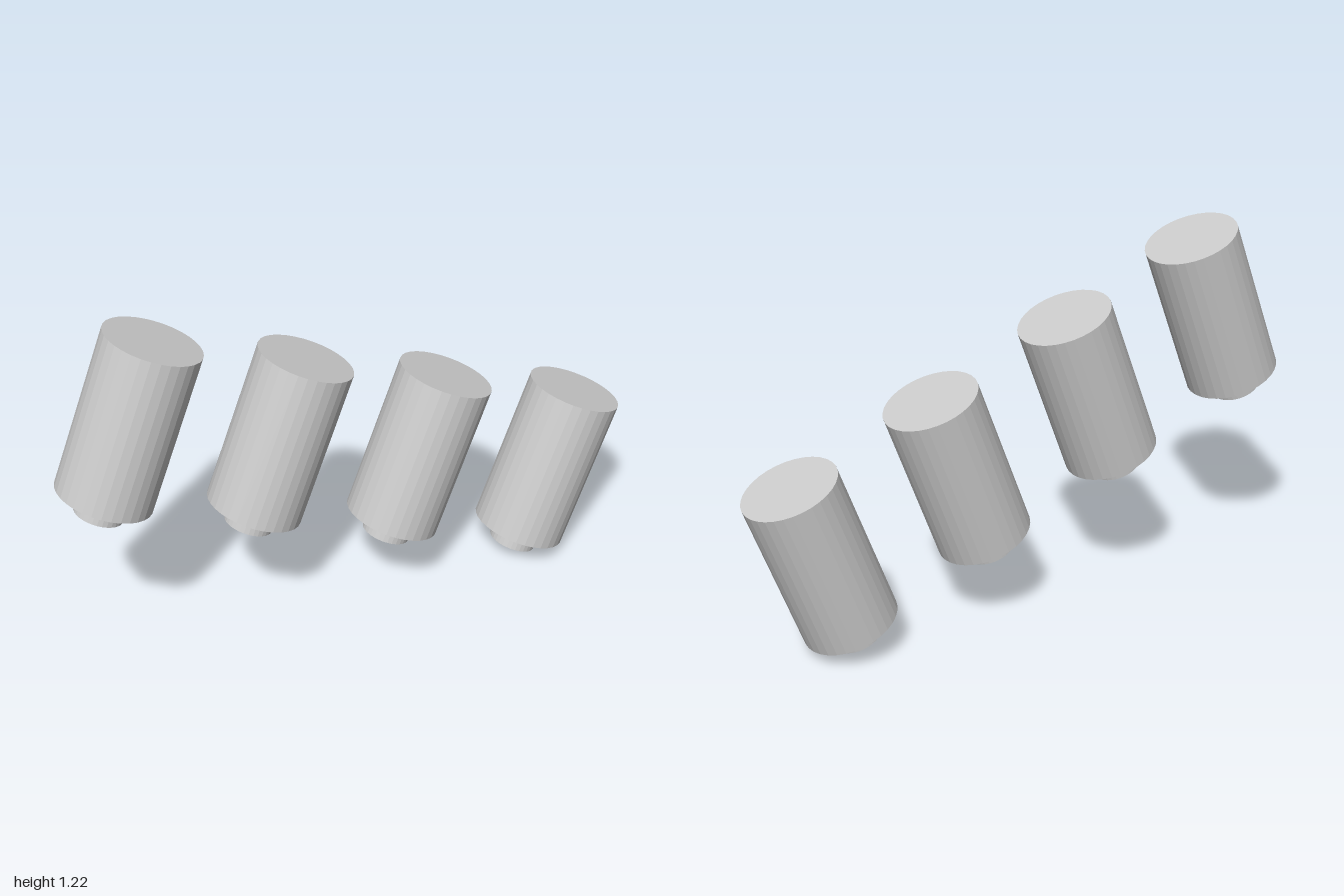
import * as THREE from 'three';

const TILT = THREE.MathUtils.degToRad(20.5);
const BODY_R = 0.161, BODY_H = 0.55;
const STUB_R = 0.082, STUB_H = 0.065;
const COUNT = 4, SPACING = 0.536; // distance along the sloping row
const SIDES = 32;

// One canister: solid body with a short open collar below, origin at the body's base
function makeCanister(material, openMaterial) {
  const canister = new THREE.Group();
  canister.name = 'canister';

  const body = new THREE.Mesh(new THREE.CylinderGeometry(BODY_R, BODY_R, BODY_H, SIDES), material);
  body.name = 'body';
  body.position.y = BODY_H / 2;

  const collar = new THREE.Mesh(
    new THREE.CylinderGeometry(STUB_R, STUB_R, STUB_H, SIDES, 1, true), openMaterial);
  collar.name = 'collar';
  collar.position.y = -STUB_H / 2;

  canister.add(body, collar);
  return canister;
}

export function createModel() {
  const model = new THREE.Group();
  model.name = 'canisterRow';
  const material = new THREE.MeshStandardMaterial({ color: 0xcccccc, flatShading: true });
  const openMaterial = new THREE.MeshStandardMaterial({
    color: 0xcccccc, flatShading: true, side: THREE.DoubleSide });

  // The row is laid out level, then tilted as a whole
  const row = new THREE.Group();
  row.name = 'tiltedRow';
  for (let i = 0; i < COUNT; i++) {
    const canister = makeCanister(material, openMaterial);
    canister.position.x = (i - (COUNT - 1) / 2) * SPACING;
    row.add(canister);
  }
  row.rotation.z = -TILT;
  // Centre on x, lowest collar edge on the ground
  const halfRow = SPACING * (COUNT - 1) / 2;
  row.position.set(
    -Math.sin(TILT) * BODY_H / 2,
    (halfRow + STUB_R) * Math.sin(TILT) + STUB_H * Math.cos(TILT),
    0);
  model.add(row);
  return model;
}
